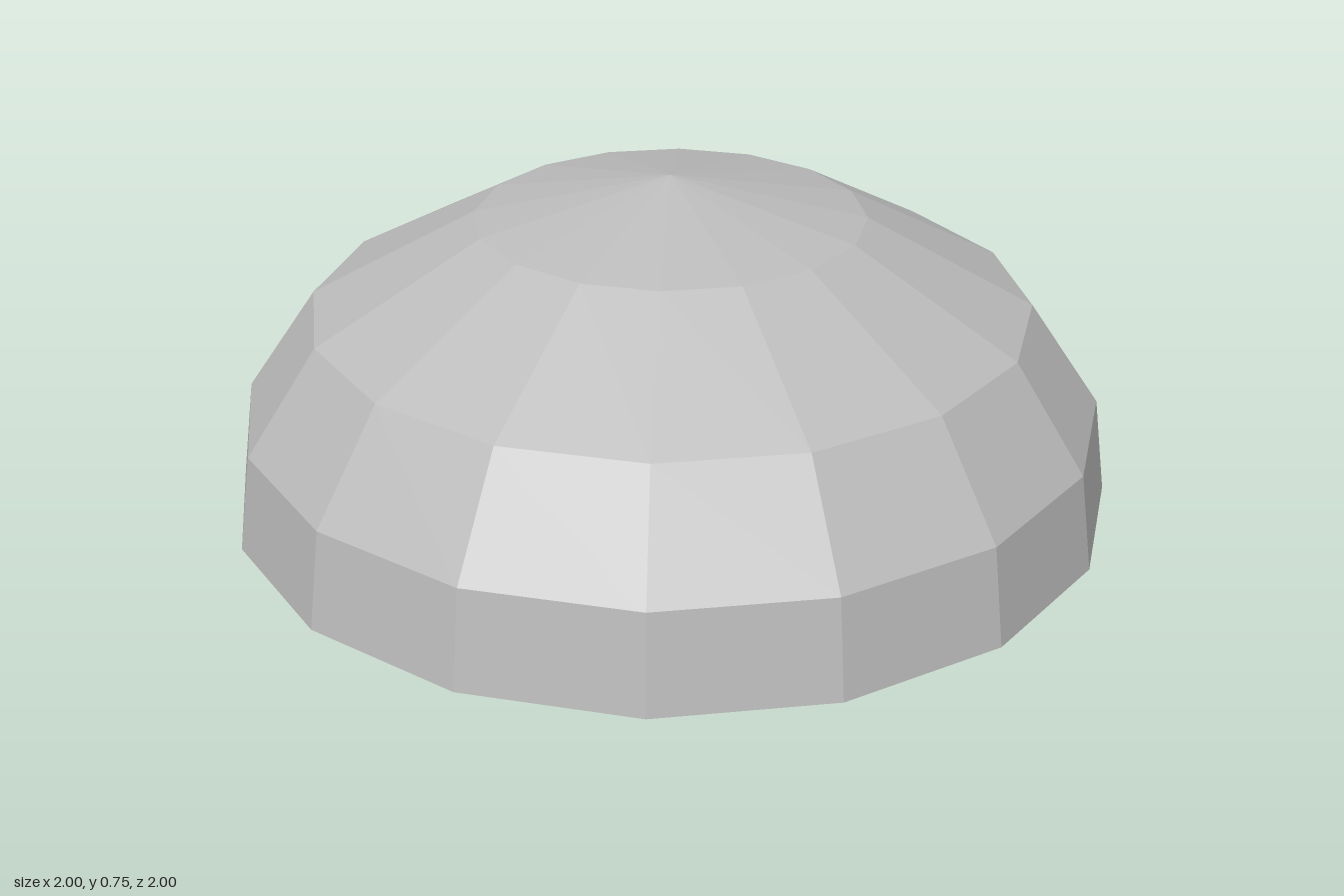
import * as THREE from 'three';

export function createModel() {
  const model = new THREE.Group();
  const grey = new THREE.MeshStandardMaterial({ color: 0xbcbcbc, flatShading: true, side: THREE.DoubleSide });
  grey.name = 'grey';

  const add = (name, geometry, parent = model) => {
    const mesh = new THREE.Mesh(geometry, grey);
    mesh.name = name;
    parent.add(mesh);
    return mesh;
  };

  // Box standing on y, without its underside
  const openBox = (name, x, z, w, h, d, y = 0, parent = model) => {
    const g = new THREE.BoxGeometry(w, h, d);
    const index = Array.from(g.index.array);
    index.splice(18, 6);
    g.setIndex(index);
    g.clearGroups();
    add(name, g, parent).position.set(x, y + h / 2, z);
  };

  // Sixteen-sided dome shell, open below
  const profile = [[1, 0], [0.97, 0.22], [0.81, 0.455], [0.437, 0.657], [0, 0.75]];
  add('dome', new THREE.LatheGeometry(profile.map(([r, y]) => new THREE.Vector2(r, y)), 16));

  // T-shaped floor, wide at the back
  const outline = [[-0.33, -0.49], [0.33, -0.49], [0.33, -0.09], [0.19, -0.09],
    [0.19, 0.455], [-0.19, 0.455], [-0.19, -0.09], [-0.33, -0.09]];
  const floor = new THREE.ExtrudeGeometry(
    new THREE.Shape(outline.map(([x, z]) => new THREE.Vector2(x, -z))), { depth: 0.012, bevelEnabled: false });
  floor.rotateX(-Math.PI / 2);
  add('floor', floor);

  // Central hall on the floor
  const hall = new THREE.Group();
  hall.name = 'hall';
  model.add(hall);
  openBox('hallBody', 0, 0.18, 0.34, 0.1, 0.52, 0.012, hall);
  openBox('bridge', 0, -0.4, 0.3, 0.03, 0.05, 0.15, hall);

  for (const s of [1, -1]) {
    // Pilasters along the hall
    for (let i = 0; i < 5; i++) openBox('pilaster', s * 0.175, -0.06 + i * 0.12, 0.02, 0.11, 0.025, 0.012, hall);

    // Rear tower with battlements, mast and round stair turret
    const tower = new THREE.Group();
    tower.name = s > 0 ? 'leftTower' : 'rightTower';
    model.add(tower);
    openBox('towerBody', s * 0.225, -0.385, 0.2, 0.24, 0.2, 0.012, tower);
    for (const dx of [-0.08, 0, 0.08]) {
      for (const dz of [-0.085, 0.085]) openBox('merlon', s * 0.225 + dx, -0.385 + dz, 0.04, 0.03, 0.03, 0.252, tower);
    }
    add('mast', new THREE.CylinderGeometry(0.012, 0.012, 0.09, 8), tower).position.set(s * 0.225, 0.297, -0.385);
    add('turret', new THREE.CylinderGeometry(0.035, 0.035, 0.24, 12), tower).position.set(s * 0.28, 0.132, -0.255);

    // Buildings at the sides and front corners
    openBox('sideBuilding', s * 0.435, -0.01, 0.19, 0.42, 0.28);
    openBox('sideBuilding', s * 0.435, 0.305, 0.2, 0.36, 0.28);
    openBox('cornerBuilding', s * 0.29, 0.57, 0.26, 0.22, 0.15);
  }
  openBox('frontBuilding', 0, 0.59, 0.26, 0.22, 0.16);

  return model;
}
